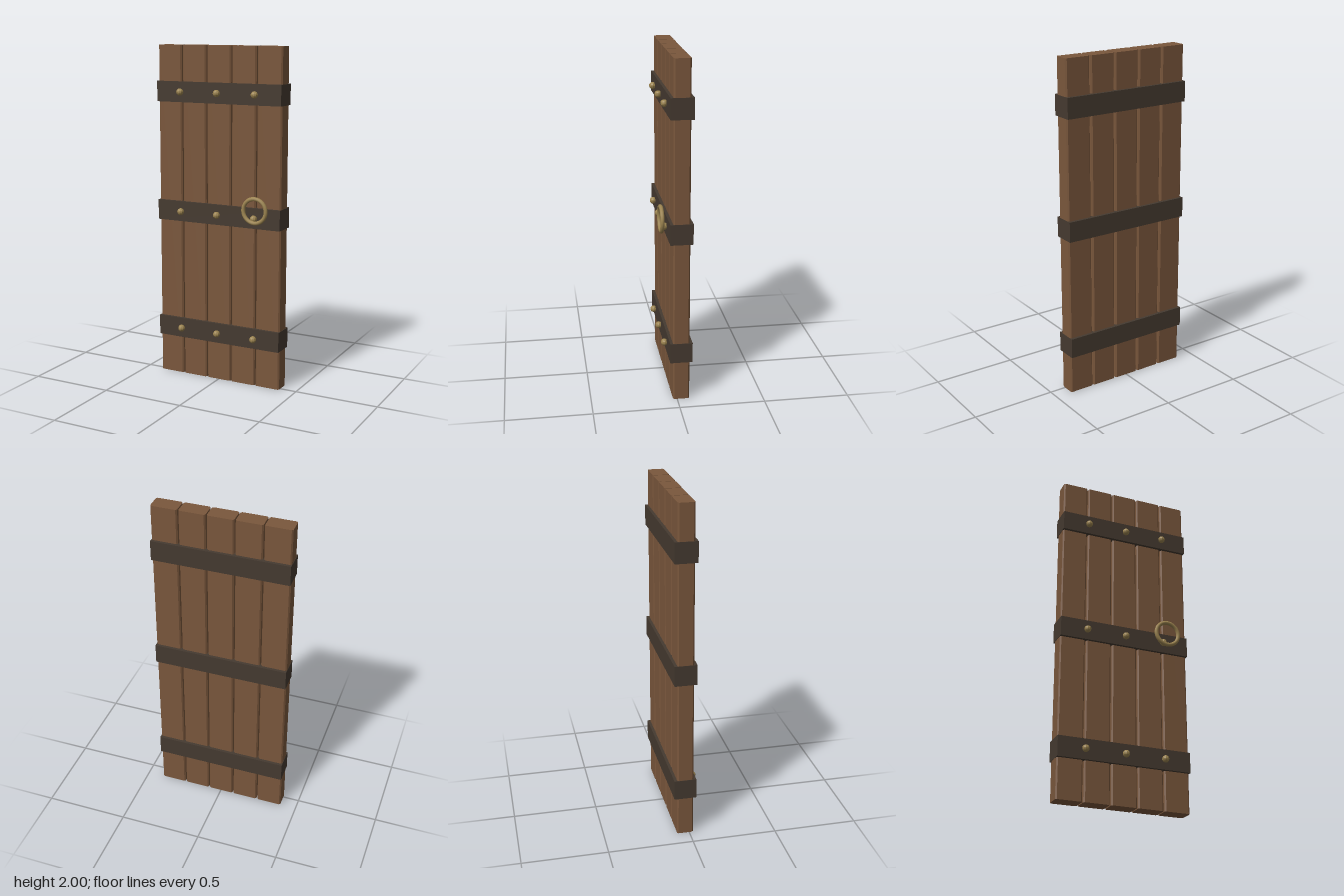
import * as THREE from 'three';

const wood = new THREE.MeshStandardMaterial({ color: 0x7a573c, flatShading: true });
const iron = new THREE.MeshStandardMaterial({ color: 0x453a30, flatShading: true });
const brass = new THREE.MeshStandardMaterial({ color: 0x9c8450 });
const brassFaceted = new THREE.MeshStandardMaterial({ color: 0x9c8450, flatShading: true });

// Upright board whose vertical edges are chamfered
function plankGeometry(width, depth, height, c) {
  const w = width / 2, d = depth / 2;
  const outline = new THREE.Shape([
    [-w + c, -d], [w - c, -d], [w, -d + c], [w, d - c],
    [w - c, d], [-w + c, d], [-w, d - c], [-w, -d + c],
  ].map(([x, y]) => new THREE.Vector2(x, y)));
  return new THREE.ExtrudeGeometry(outline, { depth: height, bevelEnabled: false }).rotateX(-Math.PI / 2);
}

export function createModel() {
  const door = new THREE.Group();
  door.name = 'plankDoor';

  const add = (name, geometry, material, x, y, z) => {
    const mesh = new THREE.Mesh(geometry, material);
    mesh.name = name;
    mesh.position.set(x, y, z);
    door.add(mesh);
  };

  // Five vertical planks with narrow gaps
  const plank = plankGeometry(0.154, 0.096, 2, 0.008);
  for (let i = -2; i <= 2; i++) add('plank', plank, wood, i * 0.161, 0, -0.024);

  // Three iron bands wrapping the planks, each with three studs
  const band = new THREE.BoxGeometry(0.802, 0.12, 0.13);
  const stud = new THREE.SphereGeometry(0.021, 10, 8);
  for (const y of [0.295, 1.02, 1.73]) {
    add('band', band, iron, 0, y, -0.024);
    for (const x of [-0.241, 0, 0.241]) add('stud', stud, brassFaceted, x, y, 0.053);
  }

  // Ring pull
  add('ringHandle', new THREE.TorusGeometry(0.071, 0.012, 10, 32), brass, 0.257, 1.071, 0.075);

  return door;
}
